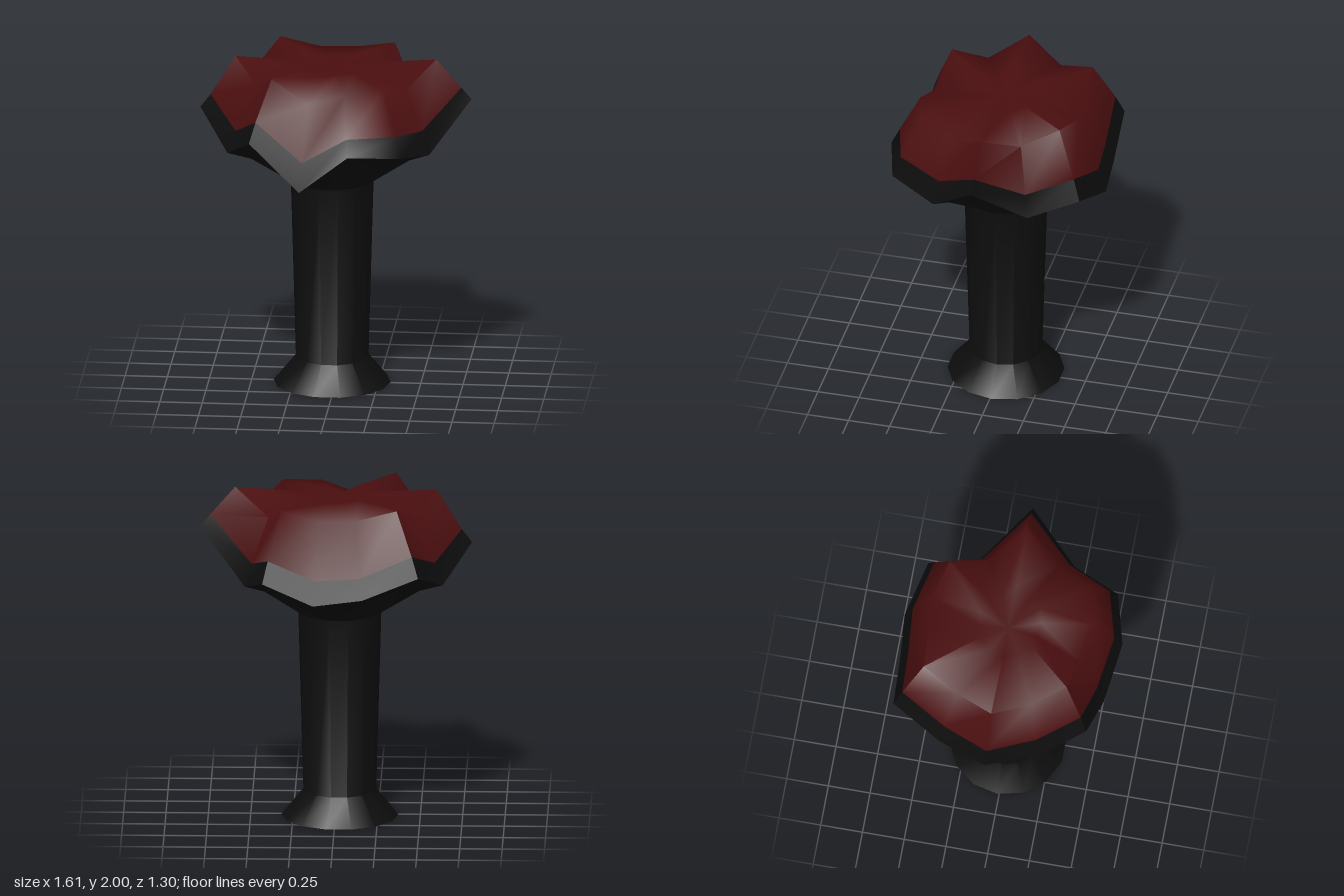
import * as THREE from 'three';
import { toCreasedNormals } from 'three/addons/utils/BufferGeometryUtils.js';

const SIDES = 14;
const CENTER = { x: -0.025, z: -0.01 };

// Canopy spokes: x, z and height of the outer rim, then heights of the cap edge and cap shoulder
const SPOKES = [
  [0.80, -0.01, 1.76, 1.83, 2.00],
  [0.575, 0.28, 1.50, 1.64, 1.87],
  [0.43, 0.565, 1.56, 1.68, 1.93],
  [0.12, 0.65, 1.58, 1.68, 1.91],
  [-0.17, 0.59, 1.34, 1.51, 1.84],
  [-0.47, 0.54, 1.62, 1.74, 1.98],
  [-0.62, 0.28, 1.48, 1.61, 1.88],
  [-0.805, -0.01, 1.67, 1.75, 1.99],
  [-0.64, -0.31, 1.49, 1.62, 1.89],
  [-0.50, -0.61, 1.61, 1.73, 1.98],
  [-0.17, -0.63, 1.48, 1.60, 1.92],
  [0.12, -0.655, 1.45, 1.59, 1.92],
  [0.42, -0.57, 1.56, 1.69, 1.97],
  [0.53, -0.28, 1.465, 1.60, 1.87],
];

// Round ring of the stem
function circle(radius, y) {
  return SPOKES.map((_, i) => {
    const a = (i / SIDES) * Math.PI * 2;
    return [CENTER.x + radius * Math.cos(a), y, CENTER.z + radius * Math.sin(a)];
  });
}

// Ring that follows the canopy outline
function outline(scale, height) {
  return SPOKES.map((s, i) => [s[0] * scale, height(s, i), s[1] * scale]);
}

// Skin between successive rings, listed from bottom to top
function loft(rings, crease) {
  const index = [];
  for (let r = 0; r < rings.length - 1; r++) {
    for (let i = 0; i < SIDES; i++) {
      const j = (i + 1) % SIDES;
      const a = r * SIDES + i, b = r * SIDES + j;
      const c = a + SIDES, d = b + SIDES;
      index.push(a, c, b, b, c, d);
    }
  }
  const geometry = new THREE.BufferGeometry();
  geometry.setAttribute('position', new THREE.Float32BufferAttribute(rings.flat(2), 3));
  geometry.setIndex(index);
  return toCreasedNormals(geometry, crease);
}

export function createModel() {
  const group = new THREE.Group();
  const black = new THREE.MeshStandardMaterial({ color: 0x0d0d0d });
  black.name = 'black';
  const darkRed = new THREE.MeshStandardMaterial({ color: 0x4a0e0f });
  darkRed.name = 'dark red';

  const add = (name, geometry, material) => {
    const mesh = new THREE.Mesh(geometry, material);
    mesh.name = name;
    group.add(mesh);
  };

  const capEdge = outline(0.925, (s) => s[3]);

  // Flared foot and gently widening stem
  add('stem', loft([
    circle(0, 0), circle(0.345, 0), circle(0.215, 0.16), circle(0.245, 1.25),
  ], 0.7), black);

  // Underside and rim of the canopy
  add('canopyUnderside', loft([
    circle(0.245, 1.25),
    outline(0.78, (s) => 1.33 + (s[2] - 1.34) * 0.7),
    outline(1, (s) => s[2]),
    capEdge,
  ], 1.0), black);

  // Wavy cap with a shallow hollow in the middle
  add('cap', loft([
    capEdge,
    outline(0.74, (s) => s[4]),
    outline(0.28, (s) => 1.955 + (s[4] - 1.93) * 0.3),
    circle(0, 1.925),
  ], 1.2), darkRed);

  return group;
}
